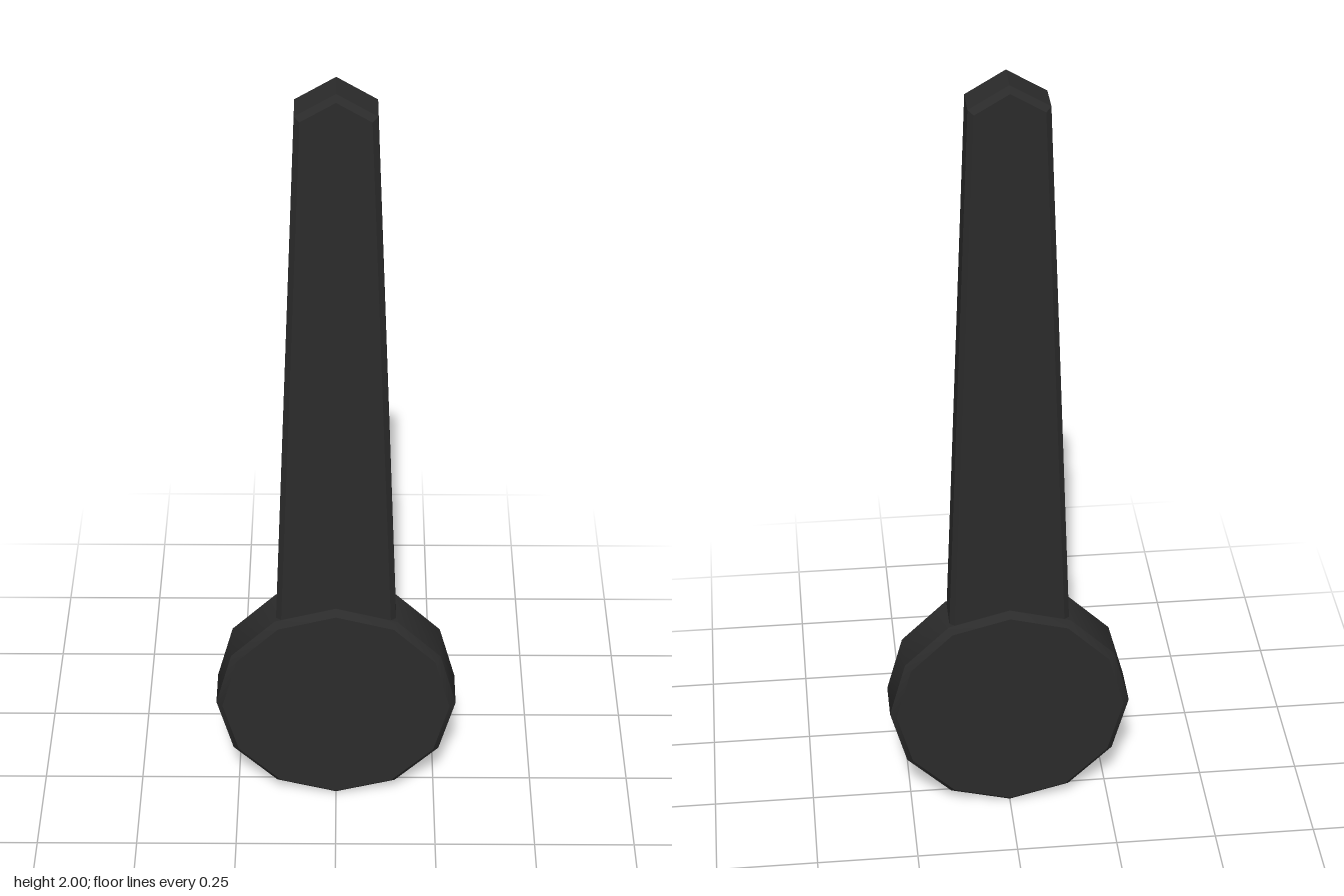
import * as THREE from 'three';
import { toCreasedNormals } from 'three/addons/utils/BufferGeometryUtils.js';

const black = new THREE.MeshStandardMaterial({ color: 0x2b2b2b });
black.name = 'charcoal black';

// Flat outline extruded symmetrically about z = 0, with a chamfer cut into its edges
function chamferedPlate(name, points, thickness, chamfer) {
  const geometry = new THREE.ExtrudeGeometry(new THREE.Shape(points), {
    depth: thickness - 2 * chamfer,
    bevelEnabled: true,
    bevelThickness: chamfer,
    bevelSize: chamfer,
    bevelOffset: -chamfer,
    bevelSegments: 1,
  });
  geometry.translate(0, 0, chamfer - thickness / 2);
  const mesh = new THREE.Mesh(toCreasedNormals(geometry, 0.6), black);
  mesh.name = name;
  return mesh;
}

export function createModel() {
  const group = new THREE.Group();
  group.name = 'clockHand';

  // Twelve-sided hub with a corner pointing straight up
  const hubPoints = [];
  for (let i = 0; i < 12; i++) {
    const a = (i * Math.PI) / 6;
    hubPoints.push(new THREE.Vector2(0.3 * Math.cos(a), 0.302 + 0.298 * Math.sin(a)));
  }
  group.add(chamferedPlate('hub', hubPoints, 0.138, 0.015));

  // Tapering blade with a blunt pointed tip, rooted inside the hub
  const right = [[0.15, 0.5], [0.092, 1.945], [0, 2]];
  const left = [[-0.092, 1.945], [-0.15, 0.5]];
  const bladePoints = [...right, ...left].map(([x, y]) => new THREE.Vector2(x, y));
  group.add(chamferedPlate('blade', bladePoints, 0.106, 0.013));

  return group;
}
